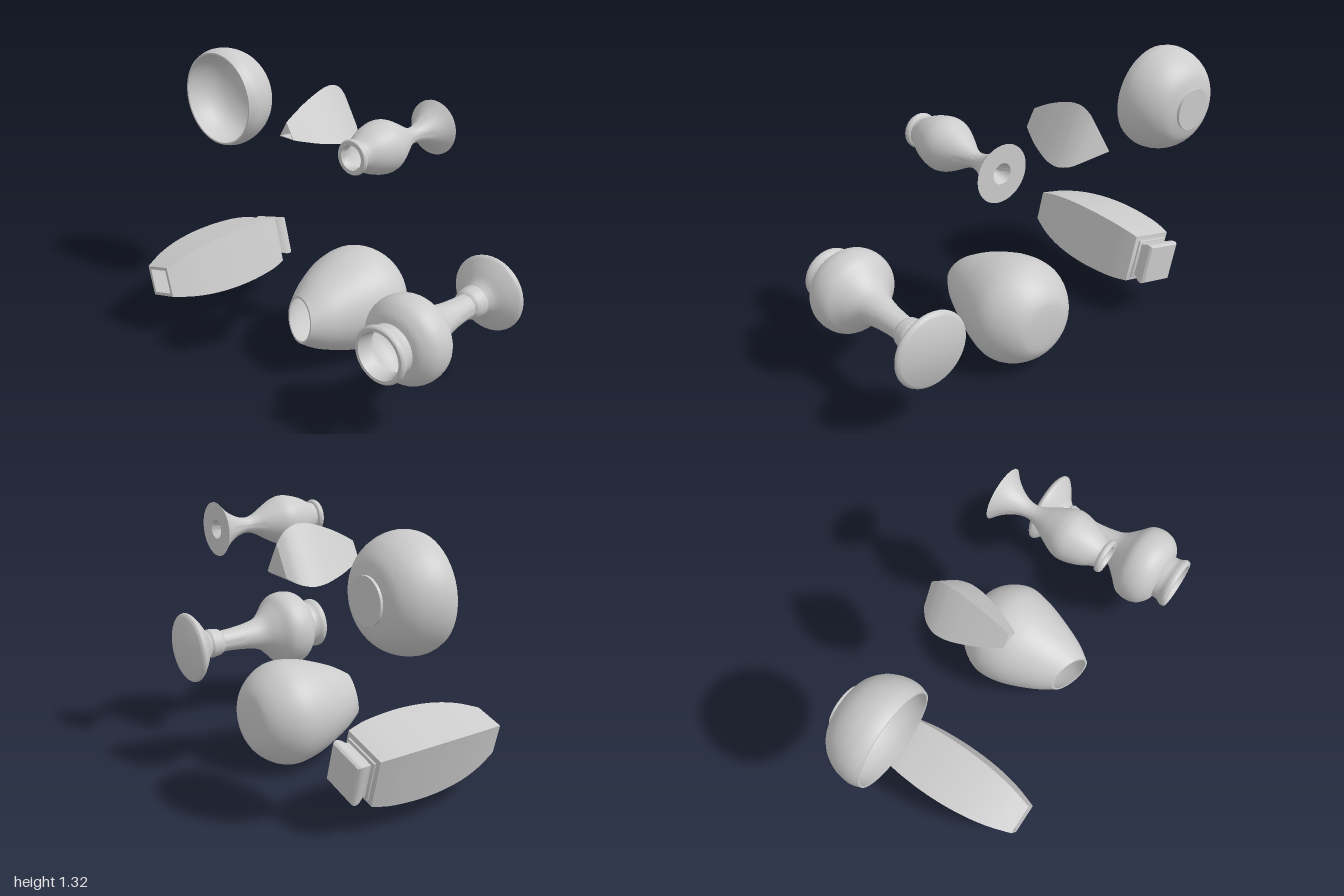
import * as THREE from 'three';
import { toCreasedNormals } from 'three/addons/utils/BufferGeometryUtils.js';

const material = new THREE.MeshStandardMaterial({ color: 0xcccccc });

// Strokes of [radius, z] points: each stroke is smoothed, corners between strokes stay sharp.
function makeProfile(strokes) {
  const out = [];
  for (const stroke of strokes) {
    const pts = stroke.map(([r, z]) => new THREE.Vector2(r, z));
    const smooth = pts.length > 2 ? new THREE.SplineCurve(pts).getPoints((pts.length - 1) * 5) : pts;
    for (const p of smooth) {
      p.x = Math.max(0, p.x);
      if (!out.length || out[out.length - 1].distanceTo(p) > 1e-4) out.push(p);
    }
  }
  return out;
}

// A turned vessel lying along z with its mouth towards +z.
function makeVessel(name, x, y, strokes, { sides = 40, turn = 0, bend = null } = {}) {
  let geo = new THREE.LatheGeometry(makeProfile(strokes), sides);
  geo.rotateX(Math.PI / 2).rotateZ(turn);
  if (bend) {
    const pos = geo.attributes.position;
    const v = new THREE.Vector3();
    for (let i = 0; i < pos.count; i++) {
      bend(v.fromBufferAttribute(pos, i));
      pos.setXYZ(i, v.x, v.y, v.z);
    }
  }
  geo = toCreasedNormals(geo, 0.65);
  const mesh = new THREE.Mesh(geo, material);
  mesh.name = name;
  mesh.position.set(x, y, 0);
  return mesh;
}

// Slides the mouth sideways and slants its rim.
function slantMouth(v) {
  const t = THREE.MathUtils.clamp((v.z + 0.2) / 0.38, 0, 1);
  v.z += t * t * (0.33 * v.x - 0.17 * v.y);
  v.x -= 0.02 * t;
  v.y += 0.015 * t;
}

export function createModel() {
  const group = new THREE.Group();
  group.name = 'vesselCollection';

  // Round bowl with a small foot
  group.add(makeVessel('bowl', -0.75, 1.074, [
    [[0, -0.4], [0.1, -0.4]],
    [[0.1, -0.4], [0.1, -0.388]],
    [[0.1, -0.388], [0.16, -0.367], [0.21, -0.32], [0.24, -0.26], [0.25, -0.205], [0.247, -0.17], [0.237, -0.14]],
    [[0.237, -0.14], [0.228, -0.14]],
    [[0.228, -0.14], [0.235, -0.2], [0.222, -0.27], [0.18, -0.33], [0.1, -0.37], [0, -0.38]],
  ], { sides: 48 }));

  // Three-sided vase
  group.add(makeVessel('triangularVase', -0.113, 1.082, [
    [[0, -0.4], [0.09, -0.4]],
    [[0.09, -0.4], [0.135, -0.365], [0.16, -0.32], [0.165, -0.28], [0.155, -0.22], [0.117, -0.12], [0.075, -0.04], [0.051, 0]],
    [[0.051, 0], [0.044, 0]],
    [[0.044, 0], [0.105, -0.12], [0.145, -0.25], [0.12, -0.35], [0.08, -0.38]],
    [[0.08, -0.38], [0, -0.38]],
  ], { sides: 3, turn: Math.PI }));

  // Small vase with a flared open foot
  group.add(makeVessel('smallVase', 0.42, 1.138, [
    [[0.045, -0.4], [0.126, -0.4]],
    [[0.126, -0.4], [0.086, -0.36], [0.051, -0.305], [0.036, -0.25], [0.047, -0.2], [0.085, -0.13], [0.113, -0.07], [0.117, -0.02], [0.098, 0.05], [0.07, 0.105], [0.064, 0.125]],
    [[0.064, 0.125], [0.076, 0.132], [0.078, 0.145], [0.073, 0.154]],
    [[0.073, 0.154], [0.055, 0.154]],
    [[0.055, 0.154], [0.05, 0.12], [0.085, 0.05], [0.102, -0.03], [0.075, -0.12], [0.03, -0.2], [0.015, -0.25], [0.014, -0.33], [0.045, -0.4]],
  ]));

  // Four-sided vase on a grooved foot
  group.add(makeVessel('squareVase', -0.6, 0.29, [
    [[0, -0.4], [0.13, -0.4]],
    [[0.13, -0.4], [0.141, -0.385], [0.135, -0.36], [0.118, -0.338]],
    [[0.118, -0.338], [0.118, -0.325]],
    [[0.118, -0.325], [0.135, -0.32], [0.135, -0.312]],
    [[0.135, -0.312], [0.166, -0.308]],
    [[0.166, -0.308], [0.187, -0.22], [0.198, -0.1], [0.199, 0], [0.192, 0.1], [0.176, 0.2], [0.148, 0.3], [0.106, 0.4]],
    [[0.106, 0.4], [0.084, 0.4]],
    [[0.084, 0.4], [0.14, 0.27], [0.175, 0.05], [0.17, -0.2], [0.15, -0.28]],
    [[0.15, -0.28], [0, -0.3]],
  ], { sides: 4, turn: Math.PI / 3 }));

  // Large jar with a slanted mouth
  group.add(makeVessel('slantedJar', 0.165, 0.26, [
    [[0, -0.4], [0.09, -0.4]],
    [[0.09, -0.4], [0.14, -0.388], [0.195, -0.345], [0.24, -0.275], [0.255, -0.2], [0.238, -0.1], [0.203, 0], [0.158, 0.1], [0.106, 0.18]],
    [[0.106, 0.18], [0.096, 0.18]],
    [[0.096, 0.18], [0.145, 0.1], [0.22, -0.08], [0.238, -0.2], [0.19, -0.32], [0.08, -0.378], [0, -0.38]],
  ], { sides: 48, bend: slantMouth }));

  // Tall vase with a round belly, ringed stem and wide foot
  group.add(makeVessel('tallVase', 0.795, 0.444, [
    [[0, -0.4], [0.165, -0.4]],
    [[0.165, -0.4], [0.179, -0.388], [0.176, -0.37], [0.135, -0.335], [0.09, -0.305], [0.068, -0.28]],
    [[0.068, -0.28], [0.075, -0.268], [0.072, -0.24], [0.068, -0.215], [0.056, -0.2]],
    [[0.056, -0.2], [0.059, -0.13], [0.07, -0.04], [0.09, 0.03], [0.14, 0.09], [0.187, 0.14], [0.2, 0.2], [0.187, 0.255], [0.15, 0.295], [0.114, 0.31]],
    [[0.114, 0.31], [0.116, 0.34], [0.129, 0.365], [0.129, 0.383], [0.122, 0.391]],
    [[0.122, 0.391], [0.108, 0.391]],
    [[0.108, 0.391], [0.099, 0.35], [0.1, 0.31], [0.15, 0.26], [0.178, 0.19], [0.14, 0.11], [0.07, 0.03], [0.04, -0.1], [0.036, -0.28]],
    [[0.036, -0.28], [0, -0.28]],
  ]));

  return group;
}
